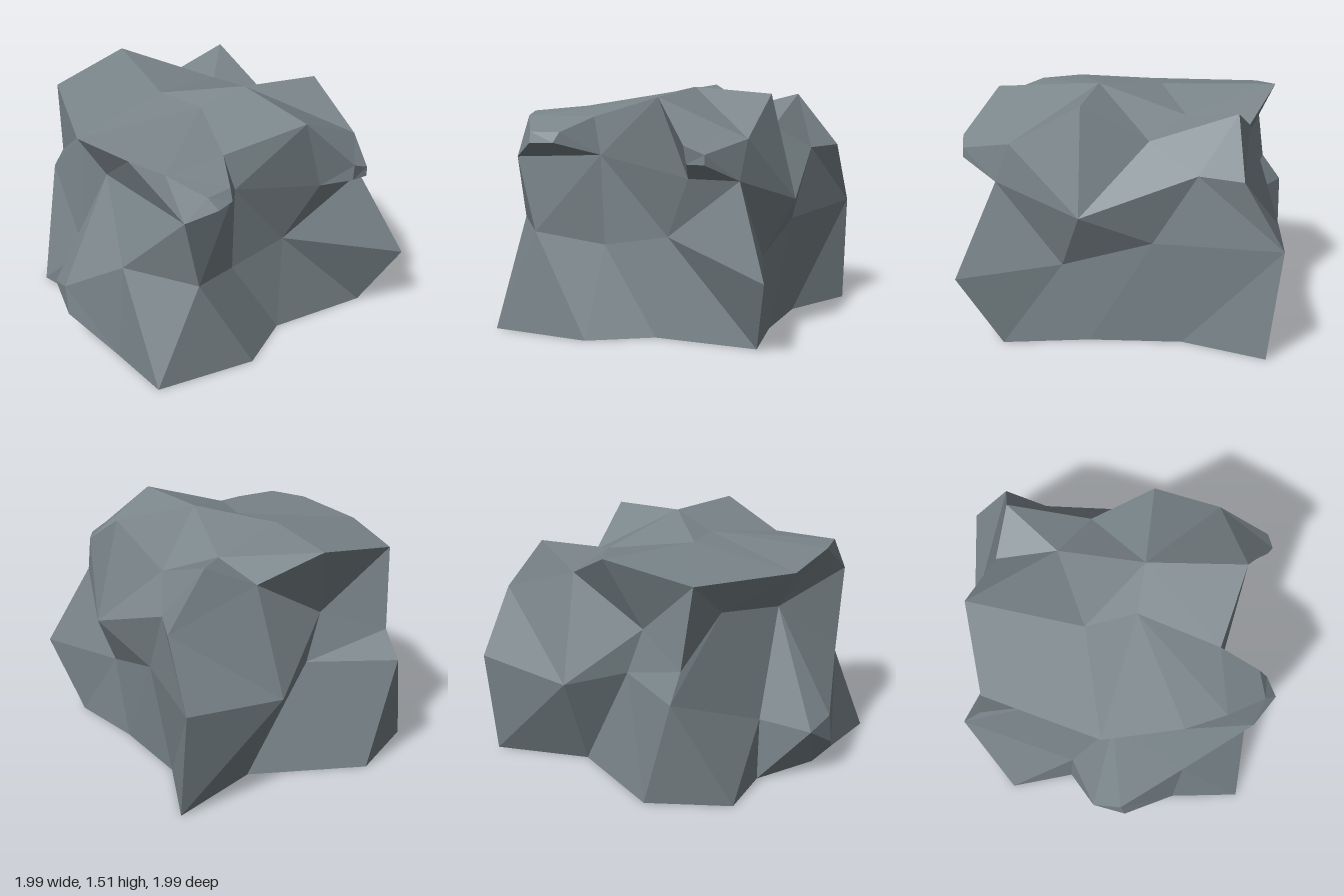
import * as THREE from 'three';

// Corners shared by several ribs (x, y, z)
const jaw = [-0.64, 1.1, 0.84], hollow = [-0.64, 1.06, -0.03];
const brow = [-0.8, 1.32, -0.1], backPeak = [-0.54, 1.37, -0.82], backNotch = [0.39, 1.29, -0.77];
const backHeel = [-0.5, 0.69, -1.0], shoulder = [-0.53, 1.13, -0.51];
const summit = [0.27, 1.51, 0.17], saddle = [0.42, 1.35, -0.38];
const crownBack = [-0.12, 1.43, -0.2], crownFront = [-0.03, 1.42, 0.12];
const centre = [0, 0, 0];

// Vertical ribs around the rock, counter-clockwise from the front left corner:
// foot, lower wall, upper wall, rim, crown
const ribs = [
  [[-0.82, 0, 0.82], [-0.53, 0.64, 0.83], jaw, [-0.65, 1.34, 0.66], crownFront],
  [[-0.17, 0, 0.9], [-0.15, 0.55, 0.64], [-0.16, 1.11, 0.67], [-0.22, 1.34, 0.63], crownFront],
  [[0.2, 0, 0.67], [0.26, 0.62, 0.62], [0.44, 1, 0.75], [0.27, 1.48, 0.8], summit],
  [[0.86, 0, 0.71], [0.98, 0.45, 0.97], [0.76, 1, 0.75], [0.78, 1.24, 0.66], summit],
  [[0.78, 0, 0.19], [0.78, 0.49, 0.35], [0.95, 0.84, 0.23], [0.79, 1.48, 0.23], summit],
  [[0.77, 0, -0.38], [0.81, 0.65, -0.2], [0.86, 1.09, -0.47], [0.69, 1.25, -0.17], summit],
  [[0.99, 0, -0.89], [0.99, 0.68, -0.98], [0.97, 1.09, -0.74], [0.7, 1.43, -0.7], saddle],
  [[0.4, 0, -0.68], [0.33, 0.62, -0.97], backNotch, backNotch, saddle],
  [[0.4, 0, -0.68], [0.01, 0.7, -0.74], [-0.1, 1, -0.72], [0.03, 1.47, -0.93], saddle],
  [[-0.29, 0, -0.99], backHeel, [-0.49, 0.86, -0.88], backPeak, crownBack],
  [[-0.76, 0, -0.72], backHeel, shoulder, backPeak, crownBack],
  [[-0.68, 0, -0.32], [-0.68, 0.4, -0.3], shoulder, brow, crownBack],
  [[-0.84, 0, 0.1], [-0.97, 0.33, -0.16], hollow, brow, crownBack],
  [[-0.83, 0, 0.38], [-1, 0.39, 0.02], hollow, brow, crownFront],
  [[-0.82, 0, 0.82], [-0.81, 0.66, 0.42], jaw, [-0.74, 1.35, 0.4], crownFront],
];

// Knobs pushed out of one wall panel (rib, ring);
// tip corners: lower left, lower right, upper right, upper left
const toe = [-1, 0.2, 0.05];
const knobs = [
  { name: 'rightKnob', rib: 0, ring: 2,
    tip: [[-0.49, 1.2, 0.97], [-0.36, 1.2, 0.92], [-0.34, 1.26, 0.87], [-0.52, 1.26, 0.9]] },
  { name: 'leftKnob', rib: 2, ring: 2,
    tip: [[0.51, 1.11, 0.97], [0.62, 1.11, 0.97], [0.62, 1.17, 0.97], [0.5, 1.22, 0.99]] },
  { name: 'toe', rib: 12, ring: 0, tip: [toe, toe, toe, toe] },
];

const dist = (a, b) => Math.hypot(a[0] - b[0], a[1] - b[1], a[2] - b[2]);

function addTriangle(out, a, b, c) {
  if (dist(a, b) > 1e-6 && dist(b, c) > 1e-6 && dist(c, a) > 1e-6) out.push(...a, ...b, ...c);
}

// Quad a-b-c-d (counter-clockwise from outside), split along its shorter diagonal
function addQuad(out, a, b, c, d) {
  if (dist(a, c) < dist(b, d)) {
    addTriangle(out, a, b, c);
    addTriangle(out, a, c, d);
  } else {
    addTriangle(out, a, b, d);
    addTriangle(out, b, c, d);
  }
}

// Skirt from a wall panel out to the tip of a knob, then the tip itself
function knobPositions(panel, tip) {
  const out = [];
  for (let e = 0; e < 4; e++) {
    const f = (e + 1) % 4;
    addQuad(out, panel[e], panel[f], tip[f], tip[e]);
  }
  addQuad(out, ...tip);
  return out;
}

function makeMesh(name, positions, material) {
  const geometry = new THREE.BufferGeometry();
  geometry.setAttribute('position', new THREE.Float32BufferAttribute(positions, 3));
  geometry.computeVertexNormals();
  const mesh = new THREE.Mesh(geometry, material);
  mesh.name = name;
  return mesh;
}

export function createModel() {
  const group = new THREE.Group();
  group.name = 'rock';
  const material = new THREE.MeshStandardMaterial({ color: 0x7b868b, flatShading: true });
  const walls = [], crown = [], underside = [];

  ribs.forEach((rib, i) => {
    const next = ribs[(i + 1) % ribs.length];
    for (let k = 0; k < 4; k++) {
      const panel = [rib[k], next[k], next[k + 1], rib[k + 1]];
      const knob = knobs.find((n) => n.rib === i && n.ring === k);
      if (knob) group.add(makeMesh(knob.name, knobPositions(panel, knob.tip), material));
      else addQuad(k === 3 ? crown : walls, ...panel);
    }
    addTriangle(crown, rib[4], next[4], summit);
    addTriangle(underside, next[0], rib[0], centre);
  });

  group.add(
    makeMesh('walls', walls, material),
    makeMesh('crown', crown, material),
    makeMesh('underside', underside, material),
  );
  return group;
}
